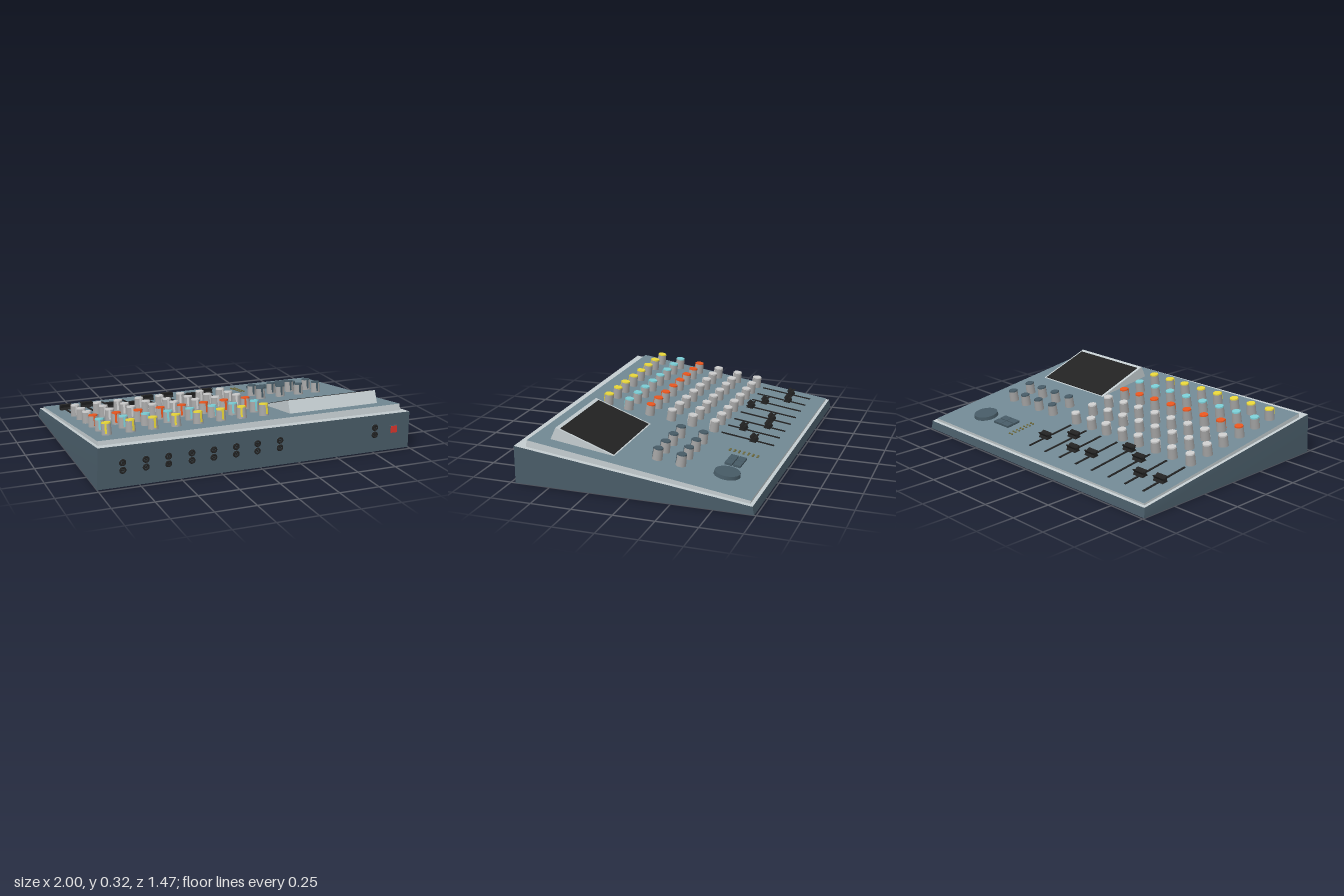
import * as THREE from 'three';

const mat = (color) => new THREE.MeshStandardMaterial({ color });
const dark = mat(0x485b67), light = mat(0xc3cccf), blue = mat(0x718893), black = mat(0x222222);
const grey = mat(0xa3a3a3), slate = mat(0x465a65), red = mat(0xd8352c), olive = mat(0x6e6a3c);
const white = mat(0xcccccc), orange = mat(0xe8561f), cyan = mat(0x7accd4), yellow = mat(0xe8d63a);

function add(parent, name, geometry, material, x = 0, y = 0, z = 0) {
  const mesh = new THREE.Mesh(geometry, material);
  mesh.name = name;
  mesh.position.set(x, y, z);
  parent.add(mesh);
  return mesh;
}

// Extrudes a [z, y] profile along x, centred on x = 0
function sideExtrude(points, width) {
  const shape = new THREE.Shape(points.map(([z, y]) => new THREE.Vector2(z, y)));
  return new THREE.ExtrudeGeometry(shape, { depth: width, bevelEnabled: false })
    .rotateY(-Math.PI / 2).translate(width / 2, 0, 0);
}

// Wedge-shaped case, slightly higher on its right side
function caseGeometry() {
  const g = new THREE.BoxGeometry(2, 1, 1);
  const p = g.attributes.position;
  for (let i = 0; i < p.count; i++) {
    const x = p.getX(i), top = p.getY(i) > 0, front = p.getZ(i) > 0;
    const y = top ? (front ? 0.24 : 0.053) - 0.008 * x * (front ? 1 : 0.4) : 0;
    p.setXYZ(i, top && x < 0 ? -0.99 : x, y, front ? 0.72 : top ? -0.728 : -0.738);
  }
  g.computeVertexNormals();
  return g;
}

const columns = [-0.87, -0.725, -0.587, -0.445, -0.305, -0.16, -0.025, 0.12];
const knobBody = new THREE.CylinderGeometry(0.028, 0.031, 0.066, 20).translate(0, 0.033, 0);
const knobCap = new THREE.CylinderGeometry(0.0265, 0.028, 0.008, 20).translate(0, 0.07, 0);
const knobMark = new THREE.BoxGeometry(0.012, 0.06, 0.006).translate(0, 0.04, 0.029);

function addKnob(parent, x, z, capMaterial, turn) {
  const knob = new THREE.Group();
  knob.name = 'knob';
  knob.position.set(x, 0, z);
  knob.rotation.y = turn;
  add(knob, 'knobBody', knobBody, grey);
  add(knob, 'knobCap', knobCap, capMaterial);
  add(knob, 'knobMark', knobMark, capMaterial);
  parent.add(knob);
}

export function createModel() {
  const model = new THREE.Group();
  model.name = 'mixingConsole';
  add(model, 'case', caseGeometry(), [dark, dark, light, dark, dark, dark]);

  // Tilted control panel; its local y = 0 is the panel surface
  const panel = new THREE.Group();
  panel.name = 'controlPanel';
  panel.position.set(0, 0.168, -0.03);
  panel.rotation.x = -Math.atan(0.143);
  model.add(panel);
  const pz = (z) => (z + 0.03) * 1.01;
  add(panel, 'panelPlate', new THREE.BoxGeometry(1.94, 0.044, 1.374),
    [light, light, blue, light, light, light], 0, -0.022, 0);

  // Channel knobs, one colour per row
  const rows = [[-0.225, white], [-0.08, white], [0.06, white], [0.205, orange], [0.35, cyan], [0.49, yellow]];
  rows.forEach(([z, cap], r) => columns.forEach((x, c) =>
    addKnob(panel, x, pz(z), cap, 0.4 * Math.sin(c * 2.1 + r))));

  // Master knobs
  for (const z of [-0.225, -0.08])
    for (const x of [0.35, 0.49, 0.625, 0.752]) addKnob(panel, x, pz(z), slate, 0);

  // Faders with waisted handles
  const handle = sideExtrude([[-0.022, 0.004], [0.022, 0.004], [0.012, 0.019], [0.022, 0.038],
    [0.006, 0.034], [0, 0.028], [-0.006, 0.034], [-0.022, 0.038], [-0.012, 0.019]], 0.078);
  const faderZ = [-0.478, -0.493, -0.366, -0.308, -0.488, -0.505, -0.378, -0.487];
  columns.forEach((x, i) => {
    add(panel, 'faderSlot', new THREE.BoxGeometry(0.013, 0.008, 0.345), black, x, 0.001, pz(-0.447));
    add(panel, 'faderHandle', handle, black, x, 0, pz(faderZ[i]));
  });

  // Level lights, buttons and jog wheel
  for (let i = 0; i < 7; i++)
    for (const x of [0.341, 0.365])
      add(panel, 'levelLight', new THREE.SphereGeometry(0.007, 10, 6), olive, x, 0.002, pz(-0.578 + i * 0.029));
  for (const x of [0.474, 0.547])
    for (const z of [-0.511, -0.459])
      add(panel, 'button', new THREE.BoxGeometry(0.07, 0.016, 0.046), slate, x, 0.006, pz(z));
  add(panel, 'jogWheel', new THREE.CylinderGeometry(0.076, 0.079, 0.022, 40), slate, 0.715, 0.011, pz(-0.495));

  // Display housing and screen
  add(model, 'displayHousing', sideExtrude([[0.135, 0.18], [0.545, 0.2], [0.545, 0.25], [0.51, 0.325], [0.135, 0.19]], 0.6),
    light, 0.57);
  const screen = add(model, 'screen', new THREE.BoxGeometry(0.565, 0.006, 0.357), black, 0.572, 0.2565, 0.318);
  screen.rotation.x = -Math.atan(0.135 / 0.375);

  // Front sockets in pairs
  const ring = new THREE.TorusGeometry(0.015, 0.006, 8, 20);
  const sleeve = new THREE.CylinderGeometry(0.019, 0.019, 0.014, 20).rotateX(Math.PI / 2);
  const core = new THREE.CylinderGeometry(0.007, 0.007, 0.02, 12).rotateX(Math.PI / 2);
  [-0.85, -0.712, -0.577, -0.435, -0.3, -0.16, -0.025, 0.12, 0.757].forEach((x, i) => {
    const y = 0.126 + i * 0.0012;
    for (const dy of [-0.023, 0.023]) {
      add(model, 'socketSleeve', sleeve, slate, x, y + dy, 0.722);
      add(model, 'socketRing', ring, black, x, y + dy, 0.73);
      add(model, 'socketCore', core, black, x, y + dy, 0.722);
    }
  });

  // Power switch
  add(model, 'powerSwitchBase', new THREE.BoxGeometry(0.048, 0.048, 0.02), slate, 0.887, 0.134, 0.722);
  add(model, 'powerSwitch', new THREE.BoxGeometry(0.042, 0.042, 0.02), red, 0.887, 0.134, 0.726);
  return model;
}
